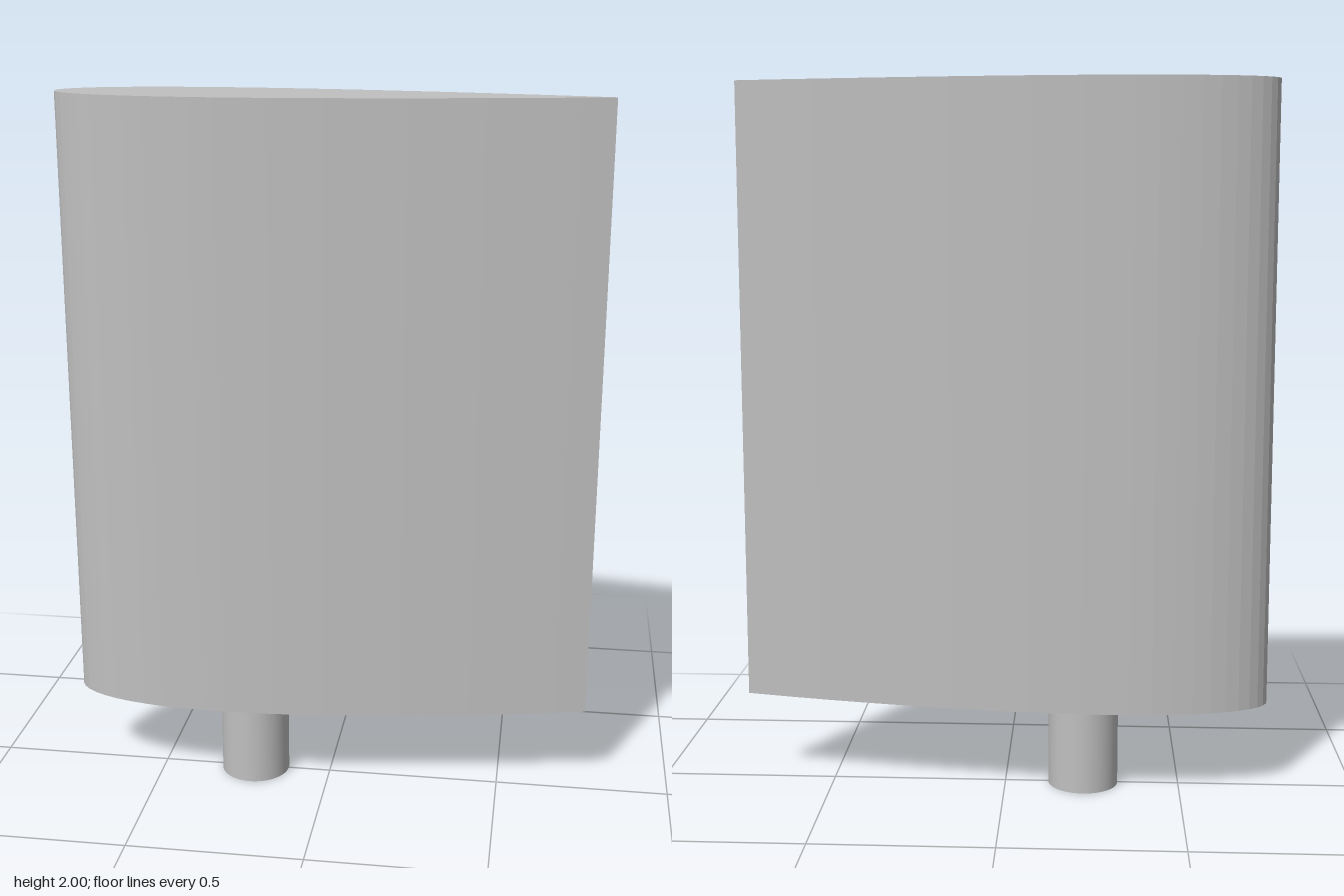
import * as THREE from 'three';

const CHORD = 1.5, THICKNESS = 0.2, BLADE_BOTTOM = 0.25, TOP = 2;

// Half thickness of a symmetric foil at t (0 = leading edge, 1 = trailing edge)
function halfThickness(t) {
  return 5 * THICKNESS * CHORD *
    (0.2969 * Math.sqrt(t) - 0.126 * t - 0.3516 * t ** 2 + 0.2843 * t ** 3 - 0.1036 * t ** 4);
}

// Closed foil outline, with points gathered near the rounded leading edge
function foilShape(steps = 32) {
  const points = [];
  for (let i = 0; i < steps * 2; i++) {
    const t = (1 + Math.cos((i / steps) * Math.PI)) / 2;
    const side = i < steps ? 1 : -1;
    const y = i === 0 || i === steps ? 0 : side * halfThickness(t);
    points.push(new THREE.Vector2((t - 0.5) * CHORD, y));
  }
  return new THREE.Shape(points);
}

export function createModel() {
  const group = new THREE.Group();
  group.name = 'rudder';
  const grey = new THREE.MeshStandardMaterial({ color: 0xc0c0c0 });
  grey.name = 'light grey';

  // Foil blade, extruded upwards
  const bladeGeometry = new THREE.ExtrudeGeometry(foilShape(), {
    depth: TOP - BLADE_BOTTOM, bevelEnabled: false,
  });
  bladeGeometry.rotateX(-Math.PI / 2);
  const blade = new THREE.Mesh(bladeGeometry, grey);
  blade.name = 'blade';
  blade.position.y = BLADE_BOTTOM;

  // Round stock under the blade
  const stock = new THREE.Mesh(new THREE.CylinderGeometry(0.1, 0.1, BLADE_BOTTOM, 48), grey);
  stock.name = 'stock';
  stock.position.set(-0.225, BLADE_BOTTOM / 2, 0);

  group.add(blade, stock);
  return group;
}
